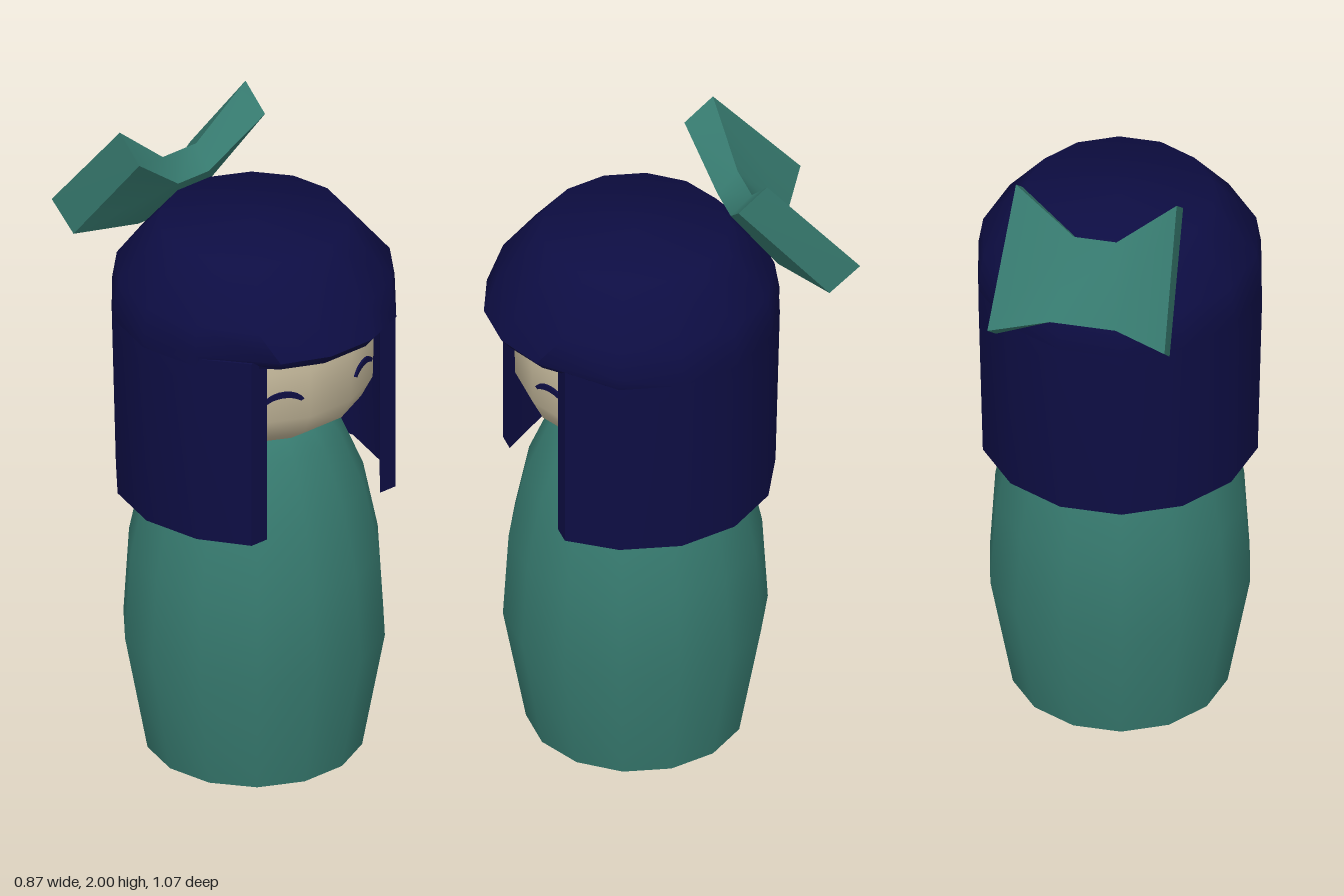
import * as THREE from 'three';
import { toCreasedNormals } from 'three/addons/utils/BufferGeometryUtils.js';

const SIDES = 14;
const STEP = (Math.PI * 2) / SIDES;
const CREASE = 1.0;

const teal = new THREE.MeshStandardMaterial({ color: 0x36796e });
teal.name = 'teal';
const navy = new THREE.MeshStandardMaterial({ color: 0x0d0d43 });
navy.name = 'navy';
const skin = new THREE.MeshStandardMaterial({ color: 0xc2b699 });
skin.name = 'skin';

function addMesh(parent, name, geometry, material) {
  const mesh = new THREE.Mesh(geometry, material);
  mesh.name = name;
  parent.add(mesh);
  return mesh;
}

// Lathe with a flat facet edge on each side; adjust(v, column, row) may move vertices
function turned(profile, columns = SIDES, adjust = null) {
  const points = profile.map(([r, y]) => new THREE.Vector2(r, y));
  const geo = new THREE.LatheGeometry(points, columns, 1.5 * STEP, columns * STEP);
  if (adjust) {
    const pos = geo.attributes.position;
    const v = new THREE.Vector3();
    for (let i = 0; i < pos.count; i++) {
      v.fromBufferAttribute(pos, i);
      adjust(v, Math.floor(i / profile.length), i % profile.length);
      pos.setXYZ(i, v.x, v.y, v.z);
    }
  }
  return toCreasedNormals(geo, CREASE);
}

// Loft through four-cornered sections, ordered from -x to +x
function loft(sections) {
  const index = [];
  for (let s = 0; s < sections.length - 1; s++) {
    for (let k = 0; k < 4; k++) {
      const a = s * 4 + k, b = s * 4 + ((k + 1) % 4);
      index.push(a, a + 4, b + 4, a, b + 4, b);
    }
  }
  const e = (sections.length - 1) * 4;
  index.push(0, 1, 2, 0, 2, 3, e, e + 3, e + 2, e, e + 2, e + 1);
  const geo = new THREE.BufferGeometry();
  geo.setAttribute('position', new THREE.Float32BufferAttribute(sections.flat(2), 3));
  geo.setIndex(index);
  return toCreasedNormals(geo, CREASE);
}

export function createModel() {
  const model = new THREE.Group();
  model.name = 'woodenDoll';

  // Body, head and hair share an axis slightly in front of the centre
  const figure = new THREE.Group();
  figure.name = 'figure';
  figure.position.z = 0.08;
  model.add(figure);

  addMesh(figure, 'body', turned([
    [0, 0], [0.328, 0], [0.397, 0.38], [0.38, 0.66], [0.335, 0.88],
    [0.26, 1.06], [0.21, 1.122], [0, 1.122],
  ]), teal);

  addMesh(figure, 'head', turned([
    [0, 1.13], [0.24, 1.13], [0.325, 1.19], [0.36, 1.26],
    [0.364, 1.42], [0.34, 1.5], [0, 1.56],
  ]), skin);

  // Hair cap whose front rim flares out into a fringe
  const fringe = { 1: [0.08, 0.42, 0.205, 0.365], 2: [0.08, 0.45, 0.225, 0.39] };
  addMesh(figure, 'hairCap', turned([
    [0.33, 1.475], [0.431, 1.475], [0.432, 1.51], [0.417, 1.6], [0.285, 1.76], [0, 1.76],
  ], SIDES, (v, column, row) => {
    const rim = fringe[row];
    if (!rim || v.z < 0.25) return;
    const corner = Math.abs(v.x) > 0.18 ? 2 : 0;
    v.x = Math.sign(v.x) * rim[corner];
    v.z = rim[corner + 1];
  }), navy);

  // Long hair: a thick shell open at the front, trimmed to a flat front plane
  addMesh(figure, 'longHair', turned([
    [0.42, 0.88], [0.433, 1.42], [0.43, 1.5], [0.386, 1.5], [0.386, 0.88], [0.42, 0.88],
  ], 11, (v, column, row) => {
    if (column !== 0 && column !== 11) return;
    const inner = row === 3 || row === 4;
    v.x = Math.sign(v.x) * (inner ? 0.22 : 0.28);
    v.z = 0.32;
  }), navy);

  // Crescent for a closed eye
  const lid = new THREE.Shape();
  lid.moveTo(-0.062, -0.008);
  lid.quadraticCurveTo(-0.04, 0.02, 0, 0.02);
  lid.quadraticCurveTo(0.04, 0.02, 0.062, -0.008);
  lid.lineTo(0.052, -0.014);
  lid.quadraticCurveTo(0.03, 0.001, 0, 0.001);
  lid.quadraticCurveTo(-0.03, 0.001, -0.052, -0.014);
  const lidGeo = new THREE.ExtrudeGeometry(lid, { depth: 0.007, bevelEnabled: false, curveSegments: 5 });

  for (const side of [-1, 1]) {
    const name = side > 0 ? 'left' : 'right';
    const edge = addMesh(figure, name + 'HairEdge', new THREE.PlaneGeometry(0.06, 0.62), navy);
    edge.position.set(side * 0.25, 1.19, 0.32);

    const eye = addMesh(figure, name + 'Eye', lidGeo, navy);
    eye.rotation.y = side * STEP;
    eye.position.set(side * 0.353 * Math.sin(STEP), 1.34, 0.353 * Math.cos(STEP));
  }

  // Bow: wide ends pinched to a middle that sits against the back of the head
  const end = [[0.245, 1.925, -0.16], [0.245, 2.0, -0.25], [0.27, 1.66, -0.535], [0.265, 1.58, -0.44]];
  const middle = [[0.06, 1.78, -0.2], [0.065, 1.845, -0.265], [0.1, 1.65, -0.44], [0.1, 1.6, -0.335]];
  const mirror = (section) => section.map(([x, y, z]) => [-x, y, z]);
  addMesh(model, 'bow', loft([mirror(end), mirror(middle), middle, end]), teal);

  return model;
}
